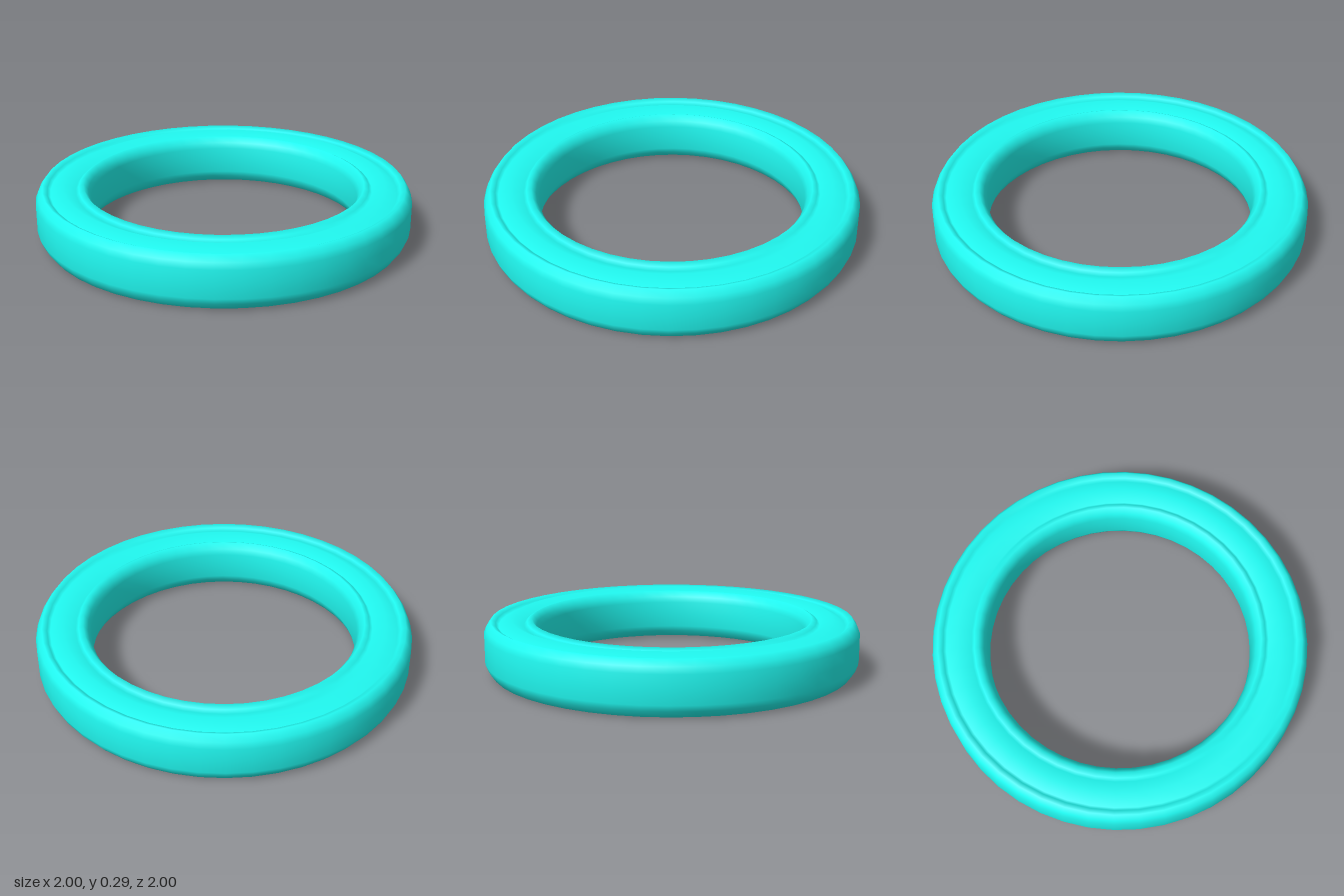
import * as THREE from 'three';

const RADIUS = 0.855; // middle of the band
const CENTRE = 0.145;

// Quarter of the cross-section: outer wall, chamfer, lip, groove, middle ridge
const QUARTER = [
  [0.145, 0], [0.145, 0.073], [0.132, 0.105], [0.108, 0.138],
  [0.082, 0.125], [0.066, 0.111], [0, 0.145],
];

function ringProfile() {
  const quarter = (sx, sy) => QUARTER.map(([x, y]) => [sx * x, sy * y]);
  // Counter-clockwise loop, starting and ending on the inner wall
  const loop = [
    ...quarter(-1, -1),
    ...quarter(1, -1).reverse().slice(1),
    ...quarter(1, 1).slice(1),
    ...quarter(-1, 1).reverse().slice(1),
  ];
  return loop.map(([x, y]) => new THREE.Vector2(RADIUS + x, CENTRE + y));
}

export function createModel() {
  const group = new THREE.Group();
  group.name = 'ringModel';

  // Ring with a low ridge between two grooves on both faces
  const ring = new THREE.Mesh(
    new THREE.LatheGeometry(ringProfile(), 48),
    new THREE.MeshStandardMaterial({ color: 0x20f8f0 }),
  );
  ring.name = 'groovedRing';
  group.add(ring);

  return group;
}
